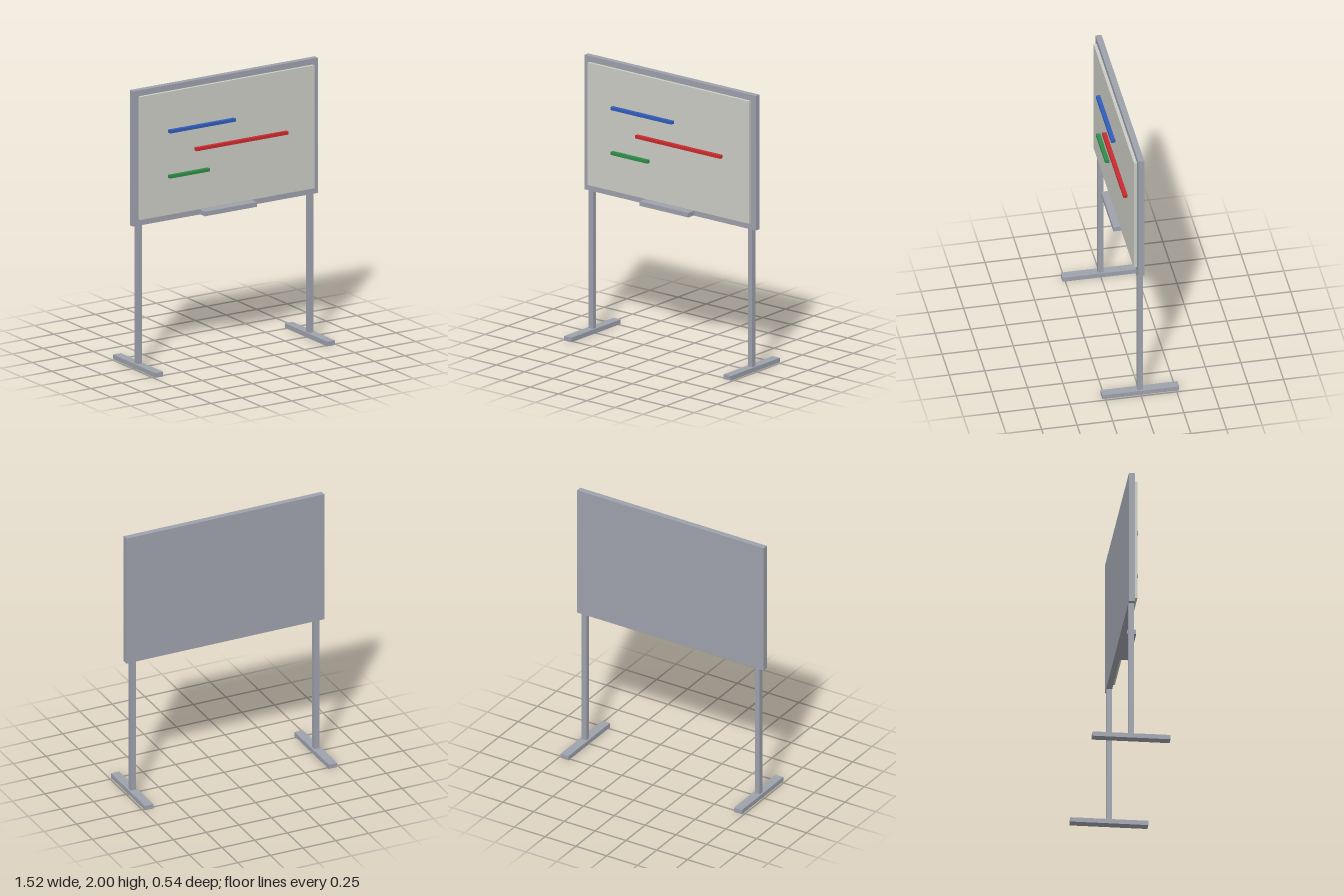
import * as THREE from 'three';

const material = (name, color) => {
  const m = new THREE.MeshStandardMaterial({ color });
  m.name = name;
  return m;
};

export function createModel() {
  const metal = material('grey metal', 0x9da1ab);
  const surface = material('off-white board', 0xcbccc4);
  const blue = material('blue ink', 0x315cba);
  const red = material('red ink', 0xc92a2e);
  const green = material('green ink', 0x2f8c48);

  const model = new THREE.Group();
  model.name = 'whiteboard';

  // Box given by its extents on each axis
  const box = (name, mat, [x0, x1], [y0, y1], [z0, z1]) => {
    const mesh = new THREE.Mesh(new THREE.BoxGeometry(x1 - x0, y1 - y0, z1 - z0), mat);
    mesh.position.set((x0 + x1) / 2, (y0 + y1) / 2, (z0 + z1) / 2);
    mesh.name = name;
    model.add(mesh);
  };

  // Board: backing frame, writing surface and pen tray
  box('frame', metal, [-0.758, 0.758], [1.028, 2], [-0.021, 0.021]);
  box('writingSurface', surface, [-0.713, 0.713], [1.074, 1.958], [0.021, 0.043]);
  box('penTray', metal, [-0.215, 0.215], [1.032, 1.065], [0.021, 0.089]);

  // Raised ink strokes
  const stroke = (name, mat, xs, y) => box(name, mat, xs, [y - 0.011, y + 0.011], [0.043, 0.072]);
  stroke('blueStroke', blue, [-0.487, 0.052], 1.677);
  stroke('redStroke', red, [-0.27, 0.483], 1.515);
  stroke('greenStroke', green, [-0.487, -0.163], 1.353);

  // Legs and feet, mirrored
  for (const [side, cx] of [['left', 0.704], ['right', -0.704]]) {
    box(side + 'Leg', metal, [cx - 0.019, cx + 0.019], [0.033, 1.028], [-0.019, 0.019]);
    box(side + 'Foot', metal, [cx - 0.032, cx + 0.032], [0, 0.033], [-0.27, 0.27]);
  }

  return model;
}
